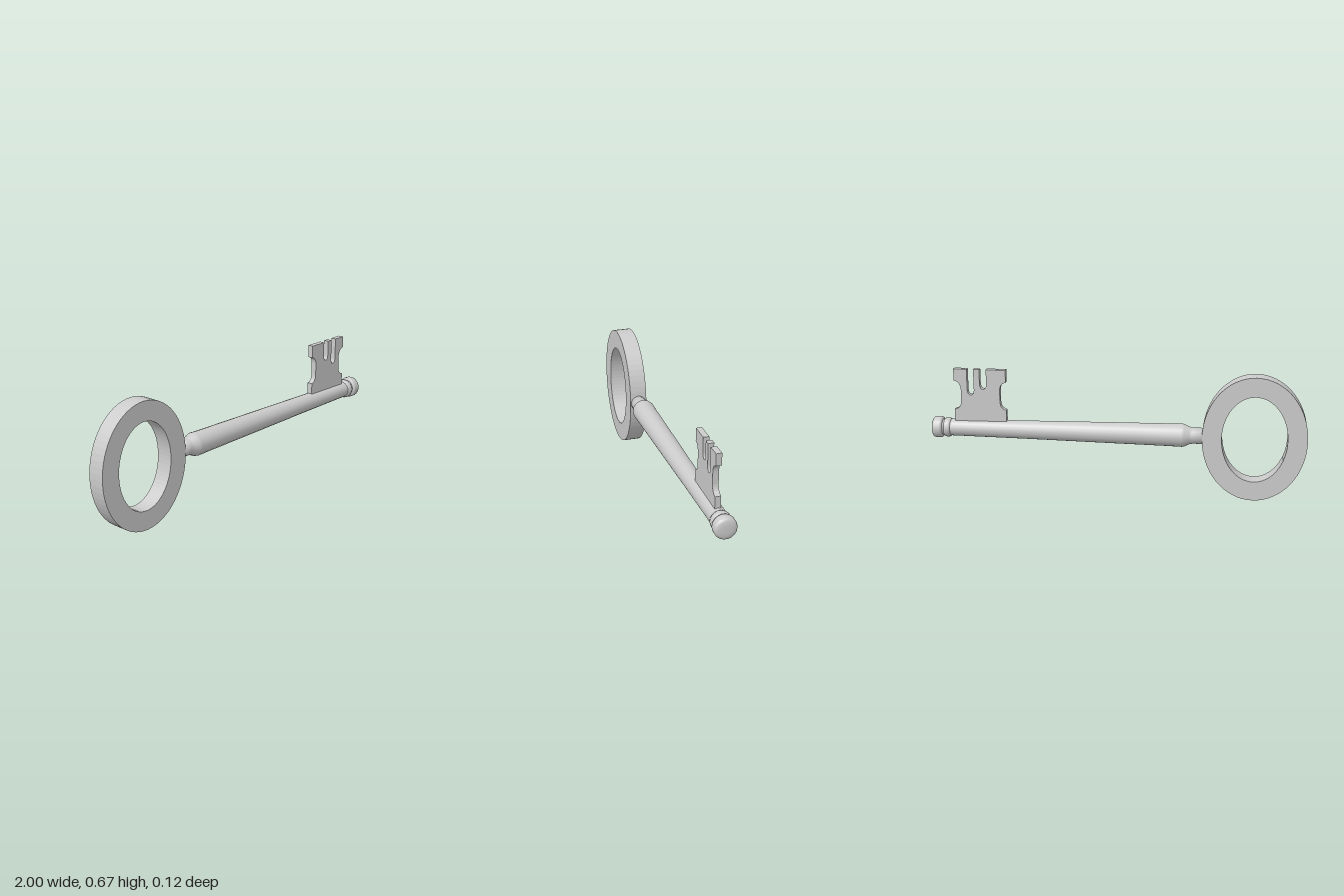
import * as THREE from 'three';

const AXIS_Y = 0.333;

function mesh(name, geometry) {
  const m = new THREE.Mesh(geometry, new THREE.MeshStandardMaterial({ color: 0xcccccc }));
  m.name = name;
  return m;
}

// Flat plate of the given thickness, centred on z = 0
function plate(shape, depth, curveSegments) {
  const g = new THREE.ExtrudeGeometry(shape, { depth, bevelEnabled: false, curveSegments });
  return g.translate(0, 0, -depth / 2);
}

// Turned part along x from [x, radius] points
function turned(name, points) {
  const g = new THREE.LatheGeometry(points.map(([x, r]) => new THREE.Vector2(r, x)), 18);
  g.rotateZ(-Math.PI / 2).translate(0, AXIS_Y, 0);
  return mesh(name, g);
}

// Oval ring handle
function createBow() {
  const shape = new THREE.Shape().absellipse(-0.726, AXIS_Y, 0.274, 0.333, 0, Math.PI * 2);
  shape.holes.push(new THREE.Path().absellipse(-0.726, AXIS_Y, 0.171, 0.23, 0, Math.PI * 2, true));
  return mesh('bow', plate(shape, 0.092, 32));
}

// Toothed plate with side notches and two round-bottomed slots
function createBit() {
  const s = new THREE.Shape();
  s.moveTo(0.592, 0.36);
  s.lineTo(0.873, 0.36);
  s.lineTo(0.873, 0.439);
  s.quadraticCurveTo(0.838, 0.445, 0.836, 0.485);
  s.lineTo(0.836, 0.55);
  s.quadraticCurveTo(0.838, 0.59, 0.873, 0.597);
  s.lineTo(0.873, 0.66);
  for (const [x, bottom] of [[0.783, 0.52], [0.715, 0.553]]) {
    s.lineTo(x + 0.018, 0.66);
    s.lineTo(x + 0.018, bottom + 0.025);
    s.quadraticCurveTo(x + 0.016, bottom, x, bottom);
    s.quadraticCurveTo(x - 0.016, bottom, x - 0.018, bottom + 0.025);
    s.lineTo(x - 0.018, 0.66);
  }
  s.lineTo(0.592, 0.66);
  s.lineTo(0.592, 0.592);
  s.quadraticCurveTo(0.623, 0.588, 0.625, 0.55);
  s.lineTo(0.625, 0.485);
  s.quadraticCurveTo(0.623, 0.446, 0.592, 0.441);
  s.closePath();
  return mesh('bit', plate(s, 0.03, 6));
}

export function createModel() {
  const key = new THREE.Group();
  key.name = 'key';
  key.add(
    createBow(),
    turned('shank', [
      [-0.47, 0], [-0.47, 0.043], [-0.4, 0.043], [-0.385, 0.047], [-0.36, 0.059],
      [-0.345, 0.062], [-0.26, 0.06], [0.1, 0.055], [0.5, 0.049], [0.9, 0.045], [0.95, 0.045],
    ]),
    turned('collar', [
      [0.897, 0.04], [0.9, 0.049], [0.91, 0.052], [0.925, 0.052], [0.932, 0.049], [0.935, 0.04],
    ]),
    turned('tip', [
      [0.94, 0], [0.942, 0.048], [0.947, 0.056], [0.955, 0.058], [0.98, 0.058],
      [0.991, 0.054], [0.997, 0.044], [1, 0.025], [1, 0],
    ]),
    createBit(),
  );
  return key;
}
